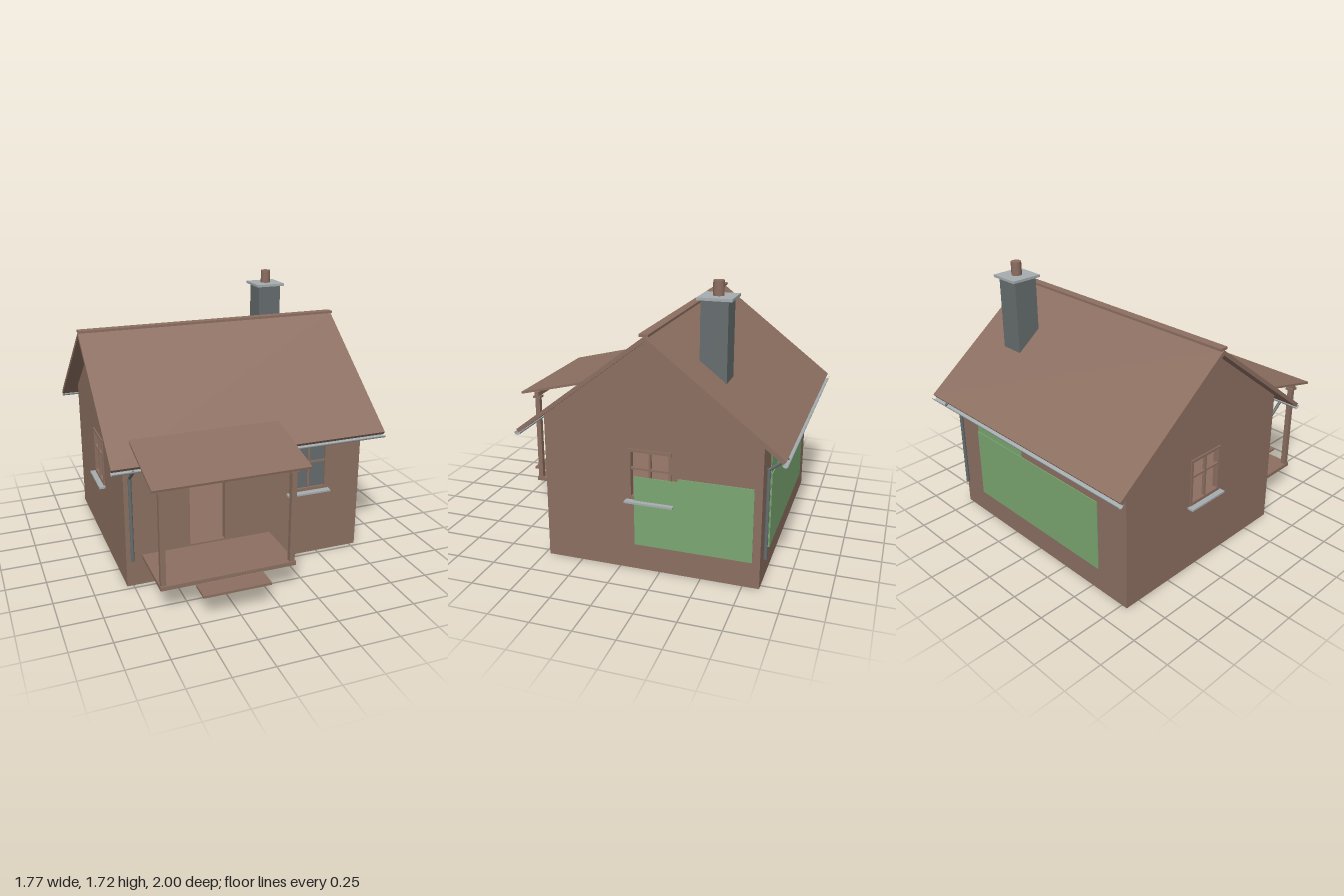
import * as THREE from 'three';

const mat = (name, color, side = THREE.FrontSide) => {
  const m = new THREE.MeshStandardMaterial({ color, side });
  m.name = name;
  return m;
};

export function createModel() {
  const house = new THREE.Group();
  house.name = 'cottage';
  const brown = mat('brown timber', 0x8c6f61, THREE.DoubleSide);
  const darkGrey = mat('dark grey', 0x666d6e);
  const lightGrey = mat('light grey', 0xa6adaf, THREE.DoubleSide);
  const green = mat('green', 0x7aa771);

  const add = (name, geo, material, parent = house) => {
    const m = new THREE.Mesh(geo, material);
    m.name = name;
    parent.add(m);
    return m;
  };
  // Box from its minimum and maximum corners
  const box = (name, [x0, x1], [y0, y1], [z0, z1], material, parent) => {
    const g = new THREE.BoxGeometry(x1 - x0, y1 - y0, z1 - z0);
    g.translate((x0 + x1) / 2, (y0 + y1) / 2, (z0 + z1) / 2);
    return add(name, g, material, parent);
  };
  const shapeOf = pts => new THREE.Shape(pts.map(p => new THREE.Vector2(...p)));
  const rect = (x0, x1, y0, y1) => [[x0, y0], [x1, y0], [x1, y1], [x0, y1]];
  // Profile of [z, y] points swept along x
  const sweepX = (name, pts, x0, x1, material) => {
    const g = new THREE.ExtrudeGeometry(shapeOf(pts), { depth: x1 - x0, bevelEnabled: false });
    g.rotateY(-Math.PI / 2).translate(x1, 0, 0);
    return add(name, g, material);
  };
  // Round rod between two points
  const rod = (name, a, b, r, material) => {
    const p = new THREE.Vector3(...a), q = new THREE.Vector3(...b);
    const m = add(name, new THREE.CylinderGeometry(r, r, p.distanceTo(q), 12), material);
    m.position.copy(p).lerp(q, 0.5);
    m.quaternion.setFromUnitVectors(new THREE.Vector3(0, 1, 0), q.sub(p).normalize());
  };

  const W = 0.79, BACK = -0.85, FRONT = 0.47, RIDGE = -0.19, EAVE = 0.92;

  // Front and back walls
  const frontShape = shapeOf(rect(-W, W, 0, EAVE));
  frontShape.holes.push(shapeOf(rect(-0.38, -0.15, 0.2, 0.735)), shapeOf(rect(0.3, 0.54, 0.46, 0.76)));
  add('frontWall', new THREE.ShapeGeometry(frontShape).translate(0, 0, FRONT), brown);
  add('backWall', new THREE.ShapeGeometry(shapeOf(rect(-W, W, 0, EAVE))).rotateY(Math.PI).translate(0, 0, BACK), brown);

  // Gable walls with window openings
  for (const s of [-1, 1]) {
    const gable = shapeOf([[BACK, 0], [FRONT, 0], [FRONT, EAVE], [RIDGE, 1.43], [BACK, EAVE]]);
    gable.holes.push(shapeOf(rect(-0.31, -0.07, 0.46, 0.76)));
    add(s > 0 ? 'leftGable' : 'rightGable',
      new THREE.ShapeGeometry(gable).rotateY(-Math.PI / 2).translate(s * W, 0, 0), brown);
  }
  box('floor', [-W, W], [0.2, 0.212], [BACK, FRONT], brown);

  // Doorway lining
  box('doorJamb', [-0.385, -0.38], [0.2, 0.735], [0.43, FRONT], brown);
  box('doorJamb', [-0.15, -0.145], [0.2, 0.735], [0.43, FRONT], brown);
  box('doorLintel', [-0.385, -0.145], [0.735, 0.74], [0.43, FRONT], brown);

  // Window with frame, glazing bars and sill, built facing +z
  const makeWindow = name => {
    const w = new THREE.Group();
    w.name = name;
    const frame = shapeOf(rect(-0.132, 0.132, 0.455, 0.77));
    frame.holes.push(shapeOf(rect(-0.115, 0.115, 0.475, 0.752)));
    add('windowFrame', new THREE.ExtrudeGeometry(frame, { depth: 0.04, bevelEnabled: false })
      .translate(0, 0, -0.032), brown, w);
    box('verticalBar', [-0.007, 0.007], [0.475, 0.752], [-0.015, 0.004], brown, w);
    box('horizontalBar', [-0.115, 0.115], [0.643, 0.655], [-0.015, 0.004], brown, w);
    box('sill', [-0.148, 0.148], [0.439, 0.451], [0, 0.04], lightGrey, w);
    house.add(w);
    return w;
  };
  const frontWindow = makeWindow('frontWindow');
  frontWindow.position.set(0.42, 0, FRONT);
  box('glass', [-0.115, 0.115], [0.475, 0.752], [-0.012, -0.006], darkGrey, frontWindow);
  for (const s of [-1, 1]) {
    const w = makeWindow(s > 0 ? 'leftWindow' : 'rightWindow');
    w.position.set(s * W, 0, RIDGE);
    w.rotation.y = s * Math.PI / 2;
  }

  // Main roof, gutters and downpipes, mirrored about the ridge
  for (const s of [-1, 1]) {
    const side = s > 0 ? 'front' : 'back';
    const z = d => RIDGE + s * d;
    sweepX(side + 'Roof', [[z(0), 1.456], [z(0.795), 0.842], [z(0.78), 0.823], [z(0), 1.425]], -0.885, 0.885, brown);
    const gutter = new THREE.CylinderGeometry(0.018, 0.018, 1.77, 12, 1, true, Math.PI, Math.PI);
    gutter.rotateZ(Math.PI / 2).translate(0, 0.823, z(0.79));
    add(side + 'Gutter', gutter, lightGrey);
    const x = -s * 0.755;
    rod(side + 'PipeElbow', [x, 0.812, z(0.785)], [x, 0.73, z(0.682)], 0.01, darkGrey);
    rod(side + 'Downpipe', [x, 0.735, z(0.682)], [x, 0.18, z(0.682)], 0.011, darkGrey);
  }
  box('ridgeCap', [-0.885, 0.885], [1.455, 1.47], [-0.218, -0.163], brown);

  // Chimney
  box('chimneyStack', [0.445, 0.605], [1.05, 1.622], [-0.585, -0.425], darkGrey);
  box('chimneyCap', [0.425, 0.628], [1.62, 1.636], [-0.61, -0.407], lightGrey);
  rod('chimneyPipe', [0.527, 1.63, -0.508], [0.527, 1.722, -0.508], 0.033, brown);

  // Porch
  box('porchDeck', [-0.69, 0.157], [0.176, 0.201], [FRONT, 0.87], brown);
  box('porchStep', [-0.478, -0.058], [0.16, 0.175], [0.87, 1.0], brown);
  for (const x of [-0.67, 0.135]) {
    box('porchPost', [x - 0.016, x + 0.016], [0.2, 0.8], [0.829, 0.861], brown);
    box('postCap', [x - 0.026, x + 0.026], [0.785, 0.8], [0.819, 0.871], brown);
  }
  box('porchBeam', [-0.695, 0.16], [0.8, 0.83], [0.83, 0.86], brown);
  sweepX('porchRoof', [[0.455, 0.956], [0.934, 0.837], [0.931, 0.823], [0.455, 0.94]], -0.743, 0.207, brown);

  // Green panels on the left and back walls
  box('leftPanel', [0.796, 0.801], [0.165, 0.602], [-0.36, -0.095], green);
  box('leftPanel', [0.796, 0.801], [0.165, 0.62], [-0.805, -0.36], green);
  box('backTallPanel', [0.13, 0.585], [0.165, 0.82], [-0.858, -0.853], green);
  for (const [x0, x1] of [[0.245, 0.585], [-0.1, 0.245], [-0.565, -0.1]])
    box('backPanel', [x0, x1], [0.165, 0.635], [-0.864, -0.859], green);

  return house;
}
